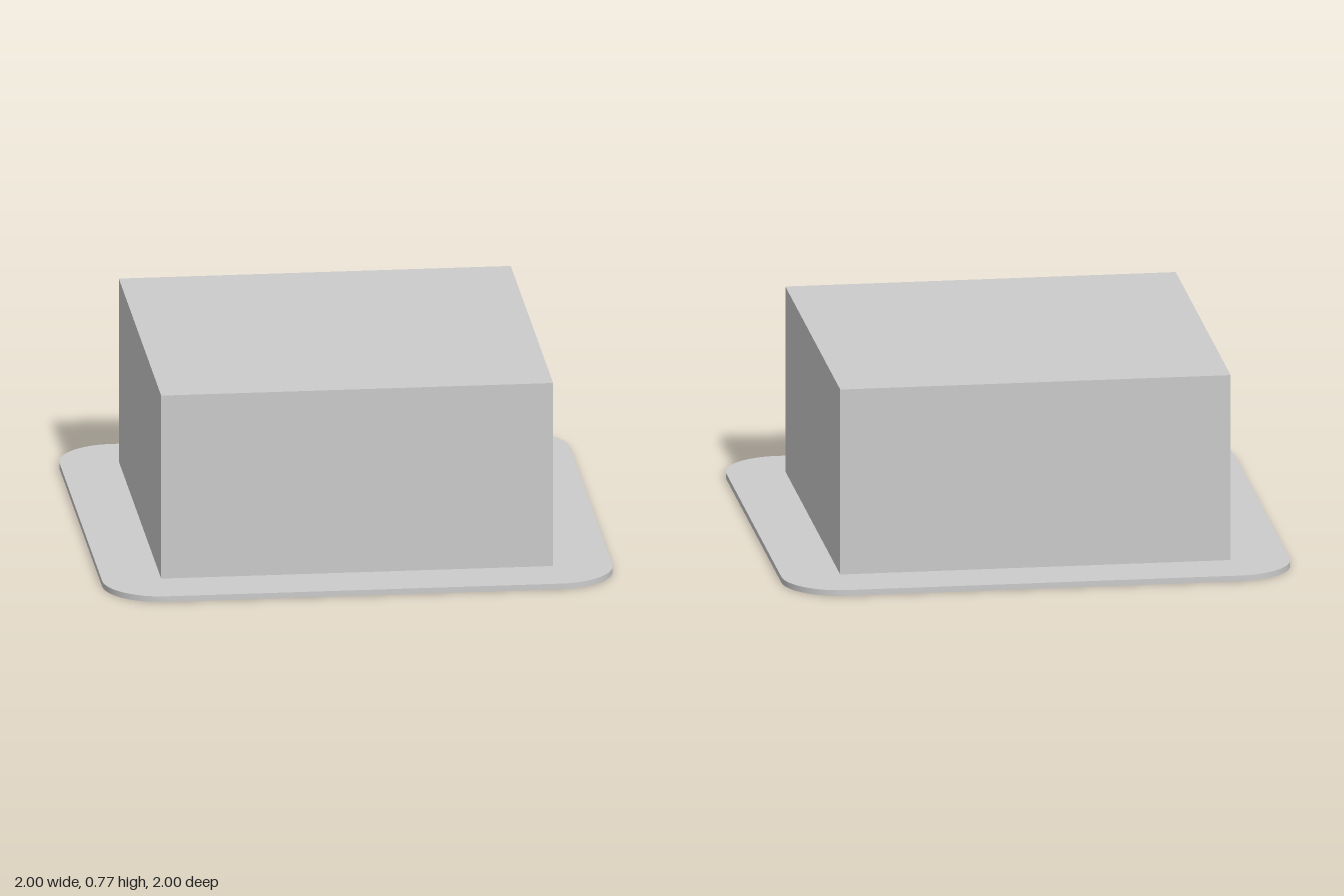
import * as THREE from 'three';
import { toCreasedNormals } from 'three/addons/utils/BufferGeometryUtils.js';

const PLATE = 0.023; // flange thickness
const HEIGHT = 0.77;
const WIDTH = 1.536;

// Square of half-size h with corners rounded to radius r
function roundedSquare(h, r) {
  const shape = new THREE.Shape();
  const c = h - r;
  shape.absarc(c, c, r, 0, Math.PI / 2);
  shape.absarc(-c, c, r, Math.PI / 2, Math.PI);
  shape.absarc(-c, -c, r, Math.PI, Math.PI * 1.5);
  shape.absarc(c, -c, r, Math.PI * 1.5, Math.PI * 2);
  shape.closePath();
  return shape;
}

export function createModel() {
  const group = new THREE.Group();
  const material = new THREE.MeshStandardMaterial({ color: 0xcccccc });

  // Thin base flange with rounded corners
  const flat = new THREE.ExtrudeGeometry(roundedSquare(1, 0.23), {
    depth: PLATE, bevelEnabled: false, curveSegments: 16,
  });
  flat.rotateX(-Math.PI / 2);
  const flange = new THREE.Mesh(toCreasedNormals(flat, Math.PI / 6), material);
  flange.name = 'baseFlange';
  group.add(flange);

  // Sharp-edged block standing on the flange
  const block = new THREE.Mesh(
    new THREE.BoxGeometry(WIDTH, HEIGHT - PLATE, WIDTH), material);
  block.name = 'block';
  block.position.y = (HEIGHT + PLATE) / 2;
  group.add(block);

  return group;
}
